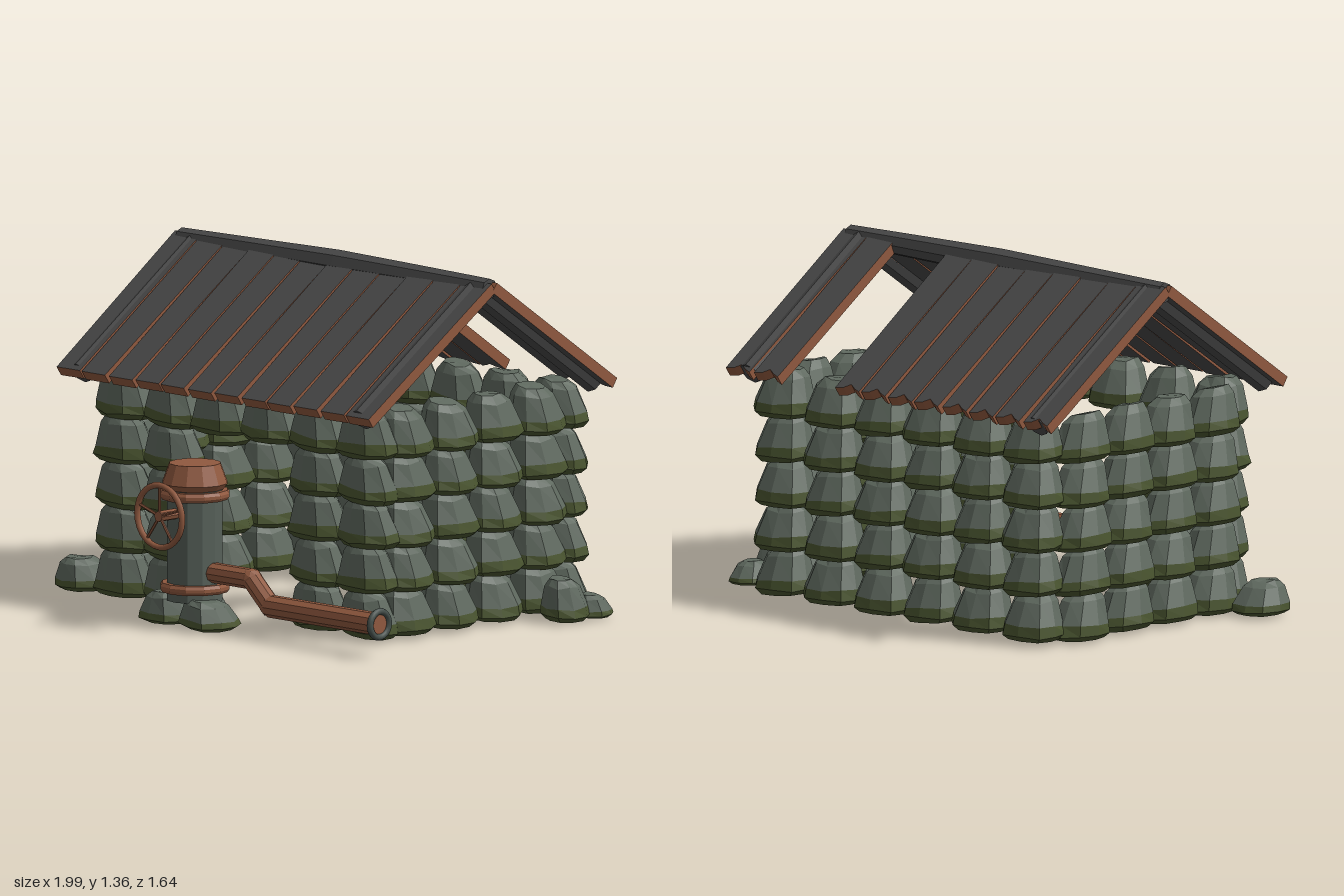
import * as THREE from 'three';

const mat = (name, color) => {
  const m = new THREE.MeshStandardMaterial({ color });
  m.name = name;
  return m;
};

// small seeded random in the range -1..1
function seeded(seed) {
  let s = seed * 9301 + 49297;
  return () => {
    s = (s * 1103515245 + 12345) % 2147483648;
    return (s / 2147483648) * 2 - 1;
  };
}

// faceted boulder: mossy lower rings, bare upper rings, top leaning towards +z
function boulderGeometry(w, h, d, seed) {
  const rnd = seeded(seed), sides = 9;
  for (let i = 0; i < 5; i++) rnd();
  const profile = [[0, 0.8], [0.12, 1], [0.32, 0.95], [0.82, 0.7], [1, 0.46]];
  const wobble = Array.from({ length: sides }, () => 1 + rnd() * 0.05);
  const tilt = rnd() * 0.06;
  const rings = profile.map(([t, k]) => wobble.map((wob, i) => {
    const a = ((i + 0.5) / sides) * Math.PI * 2;
    const c = Math.cos(a), s = Math.sin(a);
    const r = k * wob * (1 + rnd() * 0.025) / Math.pow(Math.abs(c) ** 2.8 + Math.abs(s) ** 2.8, 1 / 2.8);
    return new THREE.Vector3(c * r * w / 2, t * h + c * tilt * h + (t > 0 ? rnd() * 0.03 * h : 0),
      s * r * d / 2 + t * t * 0.13 * d);
  }));
  const pos = [];
  const tri = (...v) => v.forEach(p => pos.push(p.x, p.y, p.z));
  const mean = ring => ring.reduce((m, p) => m.add(p), new THREE.Vector3()).divideScalar(sides);
  const geo = new THREE.BufferGeometry();
  const bottom = mean(rings[0]), top = mean(rings[4]);
  let mossEnd = 0;
  for (let i = 0; i < sides; i++) tri(bottom, rings[0][i], rings[0][(i + 1) % sides]);
  for (let k = 0; k < 4; k++) {
    if (k === 2) mossEnd = pos.length / 3;
    for (let i = 0; i < sides; i++) {
      const j = (i + 1) % sides;
      const a = rings[k][i], b = rings[k][j], c = rings[k + 1][j], e = rings[k + 1][i];
      tri(a, c, b);
      tri(a, e, c);
    }
  }
  for (let i = 0; i < sides; i++) tri(top, rings[4][(i + 1) % sides], rings[4][i]);
  geo.setAttribute('position', new THREE.Float32BufferAttribute(pos, 3));
  geo.addGroup(0, mossEnd, 0);
  geo.addGroup(mossEnd, pos.length / 3 - mossEnd, 1);
  geo.computeVertexNormals();
  return geo;
}

export function createModel() {
  const stone = mat('stone', 0x5f695f), moss = mat('moss', 0x4a5530);
  const slate = mat('roofGrey', 0x484848), rust = mat('rust', 0x90593f);
  const iron = mat('greenIron', 0x566059), darkIron = mat('darkIron', 0x46504c);
  const model = new THREE.Group();
  model.name = 'stoneHut';

  const group = (name, parent = model) => {
    const g = new THREE.Group();
    g.name = name;
    parent.add(g);
    return g;
  };
  const add = (parent, name, geo, material, x = 0, y = 0, z = 0) => {
    const m = new THREE.Mesh(geo, material);
    m.name = name;
    m.position.set(x, y, z);
    parent.add(m);
    return m;
  };
  const flat = geo => {
    const g = geo.index ? geo.toNonIndexed() : geo;
    g.computeVertexNormals();
    return g;
  };
  const rod = (parent, name, from, to, r, material, sides = 10) => {
    const a = new THREE.Vector3(...from), b = new THREE.Vector3(...to);
    const mid = a.clone().add(b).multiplyScalar(0.5);
    const m = add(parent, name, flat(new THREE.CylinderGeometry(r, r, a.distanceTo(b), sides)), material, ...mid.toArray());
    m.quaternion.setFromUnitVectors(new THREE.Vector3(0, 1, 0), b.sub(a).normalize());
    return m;
  };

  // walls: five courses of boulders with a doorway in the front
  const rows = 5, rowStep = 0.172, h = 0.18;
  const faceStones = [1, 2, 3].map(s => boulderGeometry(0.25, h, 0.2, s));
  const sideStones = [4, 5, 6].map(s => boulderGeometry(0.2, h, 0.24, s));
  const walls = { front: group('frontWall'), back: group('backWall'), left: group('leftWall'), right: group('rightWall') };
  for (let r = 0; r < rows; r++) {
    const y = 0.012 + r * rowStep;
    for (let i = 0; i < 6; i++) {
      const x = -0.65 + i * 0.26;
      const doorway = (i === 2 || i === 3) && r < 4;
      if (!doorway) add(walls.front, 'wallStone', faceStones[(i + r) % 3], [moss, stone], x, y, 0.35);
      add(walls.back, 'wallStone', faceStones[(i + 2 * r) % 3], [moss, stone], x, y, -0.67);
    }
    for (let i = 0; i < 4; i++) {
      const z = 0.21 - i * 0.237;
      add(walls.left, 'wallStone', sideStones[(i + r) % 3], [moss, stone], 0.7, y, z);
      add(walls.right, 'wallStone', sideStones[(i + 2 * r) % 3], [moss, stone], -0.74, y - 0.01, z);
    }
  }

  // fallen stones around the hut and under the pump: x, z, width, height, depth
  const loose = group('looseStones');
  [[-0.9, 0.33, 0.2, 0.125, 0.22], [0.895, -0.46, 0.18, 0.16, 0.19], [0.91, -0.59, 0.16, 0.085, 0.15],
    [-0.14, 0.61, 0.22, 0.12, 0.25], [0.07, 0.63, 0.22, 0.11, 0.22], [-0.03, 0.55, 0.24, 0.13, 0.18],
  ].forEach(([x, z, w, hh, d], i) => add(loose, 'looseStone', boulderGeometry(w, hh, d, 20 + i), [moss, stone], x, 0.003, z));

  // roof: grey planks with rust edges, two of them missing at the back
  const roof = group('roof');
  const pitch = THREE.MathUtils.degToRad(34.4), len = 0.81, ridgeZ = -0.148;
  const plankGeometry = notched => {
    const s = new THREE.Shape();
    s.moveTo(-0.069, 0.02);
    s.lineTo(0.069, 0.02);
    s.lineTo(0.062, len);
    if (notched) {
      s.lineTo(0.03, len - 0.012);
      s.lineTo(0, len - 0.03);
      s.lineTo(-0.025, len - 0.008);
    }
    s.lineTo(-0.062, len);
    s.closePath();
    return new THREE.ExtrudeGeometry(s, { depth: 0.042, bevelEnabled: false });
  };
  for (const back of [false, true]) {
    const slope = group(back ? 'backSlope' : 'frontSlope', roof);
    slope.position.set(0, 1.342, ridgeZ);
    slope.rotation.y = back ? Math.PI : 0;
    const tilt = group('slopeTilt', slope);
    tilt.rotation.x = Math.PI / 2 + pitch;
    const dir = back ? -1 : 1;
    const plank = plankGeometry(back);
    for (let i = 0; i < 12; i++) {
      if (back && (i === 8 || i === 9)) continue;
      const p = add(tilt, 'roofPlank', plank, [slate, rust], dir * (-0.803 + i * 0.1415), 0, (i % 3) * 0.002);
      p.rotation.z = ((i * 5) % 7 - 3) * 0.002;
    }
    // round rafters showing through near the gables
    for (const x of [-0.775, 0.73]) rod(tilt, 'rafter', [dir * x, 0.03, 0.041], [dir * x, 0.785, 0.041], 0.047, slate, 8);
  }
  // ridge pole, thicker in the middle
  const ridge = [[0, -0.85], [0.04, -0.85], [0.048, -0.4], [0.055, 0], [0.048, 0.4], [0.04, 0.8], [0, 0.8]]
    .map(([r, y]) => new THREE.Vector2(r, y));
  const pole = add(roof, 'ridgePole', flat(new THREE.LatheGeometry(ridge, 8)), slate, 0, 1.303, ridgeZ + 0.003);
  pole.rotation.z = -Math.PI / 2;

  // pump: iron barrel with rust bands and cap
  const pump = group('pump');
  pump.position.set(-0.02, 0, 0.62);
  const lathe = (name, pts, material) => add(pump, name,
    flat(new THREE.LatheGeometry(pts.map(p => new THREE.Vector2(...p)), 12)), material);
  lathe('barrel', [[0, 0.1], [0.109, 0.1], [0.109, 0.53], [0, 0.53]], iron);
  for (const y of [0.133, 0.49]) {
    lathe('band', [[0.105, y], [0.128, y], [0.136, y + 0.012], [0.136, y + 0.024], [0.128, y + 0.036], [0.105, y + 0.036]], rust);
  }
  lathe('cap', [[0.1, 0.525], [0.112, 0.53], [0.128, 0.552], [0.1, 0.628], [0, 0.628]], rust);

  // hand wheel with five spokes
  const wheel = group('handWheel', pump);
  wheel.position.set(0, 0.443, 0.19);
  add(wheel, 'wheelRim', new THREE.TorusGeometry(0.12, 0.012, 8, 28), rust);
  for (let i = 0; i < 5; i++) {
    const a = Math.PI / 2 + (i * Math.PI * 2) / 5;
    rod(wheel, 'spoke', [0, 0, 0], [Math.cos(a) * 0.12, Math.sin(a) * 0.12, 0], 0.006, rust, 6);
  }
  rod(wheel, 'wheelShaft', [0, 0, -0.1], [0, 0, 0.008], 0.021, rust, 8);

  // outlet pipe stepping down to a flanged mouth
  const pipe = group('outletPipe');
  const path = [[0.05, 0.215, 0.62], [0.285, 0.215, 0.62], [0.385, 0.122, 0.62], [0.97, 0.122, 0.62]];
  for (let i = 0; i < 3; i++) rod(pipe, 'pipeSection', path[i], path[i + 1], i === 2 ? 0.044 : 0.04, rust);
  for (const i of [1, 2]) add(pipe, 'pipeElbow', flat(new THREE.IcosahedronGeometry(0.042, 1)), rust, ...path[i]);
  const mouth = add(pipe, 'pipeFlange', new THREE.TorusGeometry(0.05, 0.013, 8, 20), darkIron, 0.969, 0.122, 0.62);
  mouth.rotation.y = Math.PI / 2;

  return model;
}
